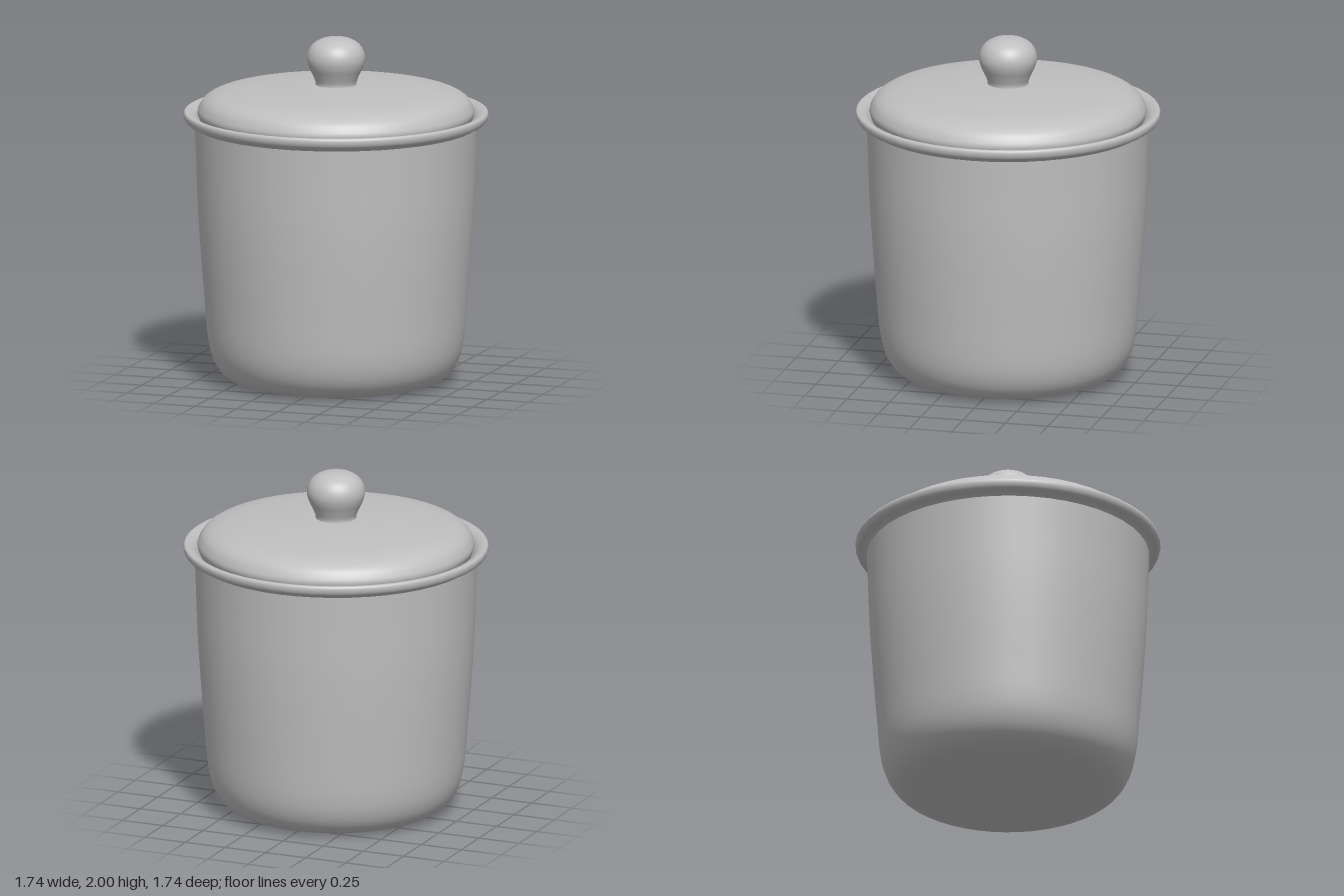
import * as THREE from 'three';

const SEGMENTS = 48;

// Smooth curve through a few [radius, height] points
function smooth(points, steps) {
  const curve = new THREE.SplineCurve(points.map(([r, y]) => new THREE.Vector2(r, y)));
  return curve.getPoints(steps).map((p) => new THREE.Vector2(Math.max(p.x, 0), p.y));
}

function turned(name, profile, material) {
  const mesh = new THREE.Mesh(new THREE.LatheGeometry(profile, SEGMENTS), material);
  mesh.name = name;
  return mesh;
}

export function createModel() {
  const group = new THREE.Group();
  group.name = 'liddedJar';
  const ceramic = new THREE.MeshStandardMaterial({ color: 0xbfbfbf, side: THREE.DoubleSide });
  ceramic.name = 'grey ceramic';

  // Flat underside
  group.add(turned('base', [new THREE.Vector2(0, 0.004), new THREE.Vector2(0.53, 0.004)], ceramic));

  // Outer wall, rounded at the foot and widening towards the top
  group.add(turned('body', smooth([
    [0.53, 0.004], [0.6, 0.025], [0.66, 0.07], [0.705, 0.15], [0.732, 0.27],
    [0.752, 0.5], [0.775, 0.8], [0.79, 1.05], [0.799, 1.3], [0.806, 1.49],
  ], 48), ceramic));

  // Flared lip that dips inwards to seat the lid
  group.add(turned('rim', smooth([
    [0.806, 1.488], [0.825, 1.503], [0.855, 1.515], [0.868, 1.535],
    [0.87, 1.558], [0.86, 1.571], [0.835, 1.567], [0.805, 1.55], [0.775, 1.51],
  ], 32), ceramic));

  // Hollow inside
  group.add(turned('innerWall', smooth([
    [0.775, 1.51], [0.765, 1.3], [0.745, 0.8], [0.705, 0.3], [0.62, 0.1], [0.5, 0.05], [0, 0.05],
  ], 28), ceramic));

  // Shallow domed lid
  group.add(turned('lid', smooth([
    [0.775, 1.52], [0.79, 1.56], [0.782, 1.595], [0.752, 1.638], [0.69, 1.671],
    [0.57, 1.695], [0.35, 1.715], [0.15, 1.724], [0, 1.726],
  ], 40), ceramic));

  // Round knob on a tapered neck
  group.add(turned('knob', smooth([
    [0.118, 1.715], [0.117, 1.74], [0.135, 1.785], [0.156, 1.83], [0.166, 1.875],
    [0.157, 1.922], [0.127, 1.963], [0.07, 1.992], [0, 2],
  ], 32), ceramic));

  return group;
}
